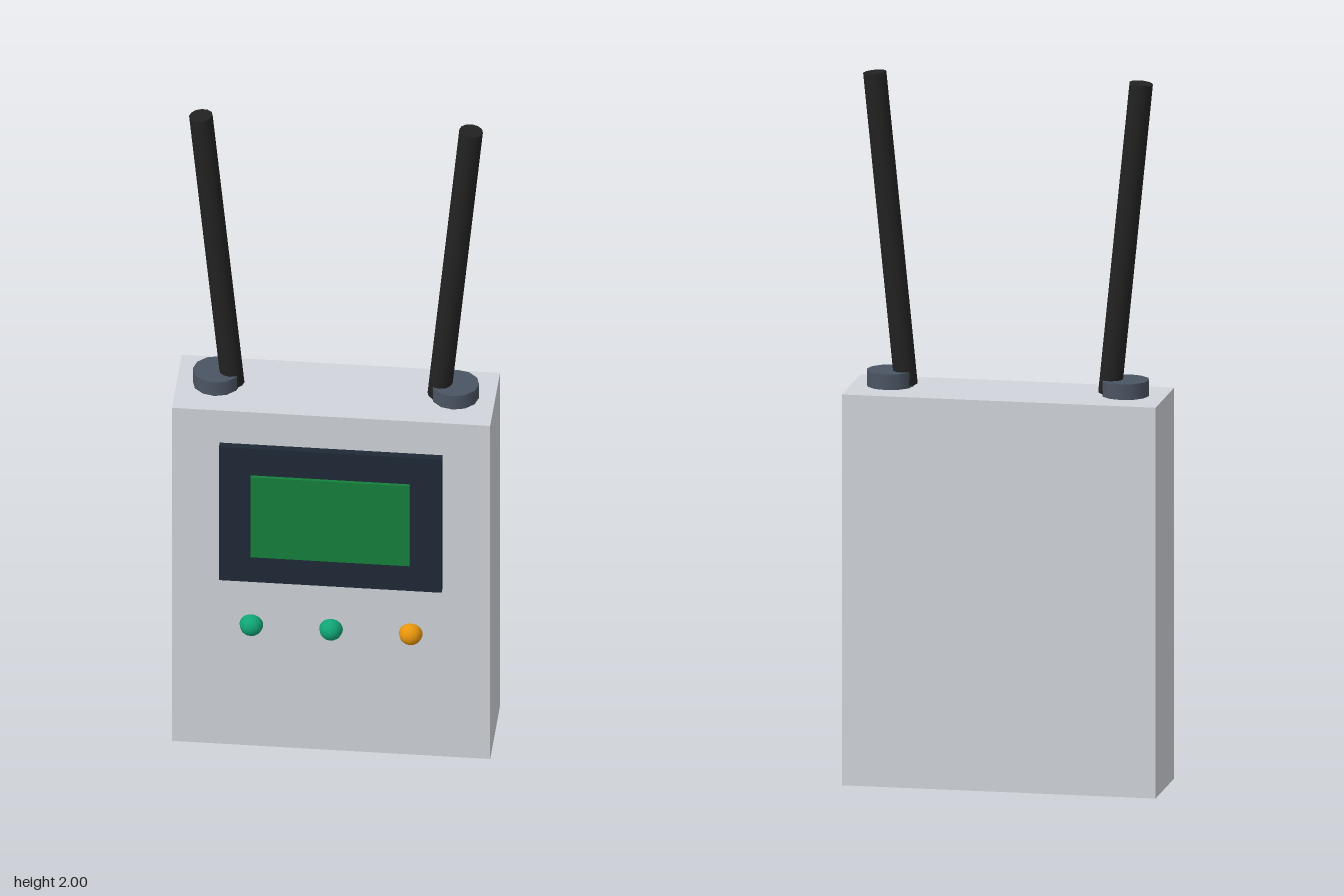
import * as THREE from 'three';

export function createModel() {
  const model = new THREE.Group();
  const mat = (color) => new THREE.MeshStandardMaterial({ color });

  function add(name, geometry, material, x, y, z) {
    const mesh = new THREE.Mesh(geometry, material);
    mesh.name = name;
    mesh.position.set(x, y, z);
    model.add(mesh);
    return mesh;
  }

  // Housing
  add('body', new THREE.BoxGeometry(0.886, 1.108, 0.266), mat(0xd1d5db), 0, 0.554, -0.018);

  // Display: dark bezel with a raised screen
  add('bezel', new THREE.BoxGeometry(0.62, 0.443, 0.044), mat(0x1f2937), 0, 0.78, 0.115);
  add('screen', new THREE.BoxGeometry(0.443, 0.266, 0.022), mat(0x15803d), 0, 0.78, 0.136);

  // Row of indicator lights
  const lightGeo = new THREE.SphereGeometry(0.033, 12, 12);
  const green = mat(0x10a575);
  [['leftLight', 0.222, mat(0xe8960c)], ['middleLight', 0, green], ['rightLight', -0.222, green]]
    .forEach(([name, x, material]) => add(name, lightGeo, material, x, 0.403, 0.115));

  // Outward-leaning antennas on short collars
  const collarGeo = new THREE.CylinderGeometry(0.0665, 0.0665, 0.0443, 12);
  const antennaGeo = new THREE.CylinderGeometry(0.033, 0.033, 0.886, 12);
  const collarMat = mat(0x4b5563);
  const antennaMat = mat(0x222222);
  for (const [side, s] of [['left', 1], ['right', -1]]) {
    add(side + 'Collar', collarGeo, collarMat, s * 0.332, 1.133, -0.018);
    add(side + 'Antenna', antennaGeo, antennaMat, s * 0.332, 1.556, -0.018).rotation.z = -s * 0.1;
  }

  return model;
}
